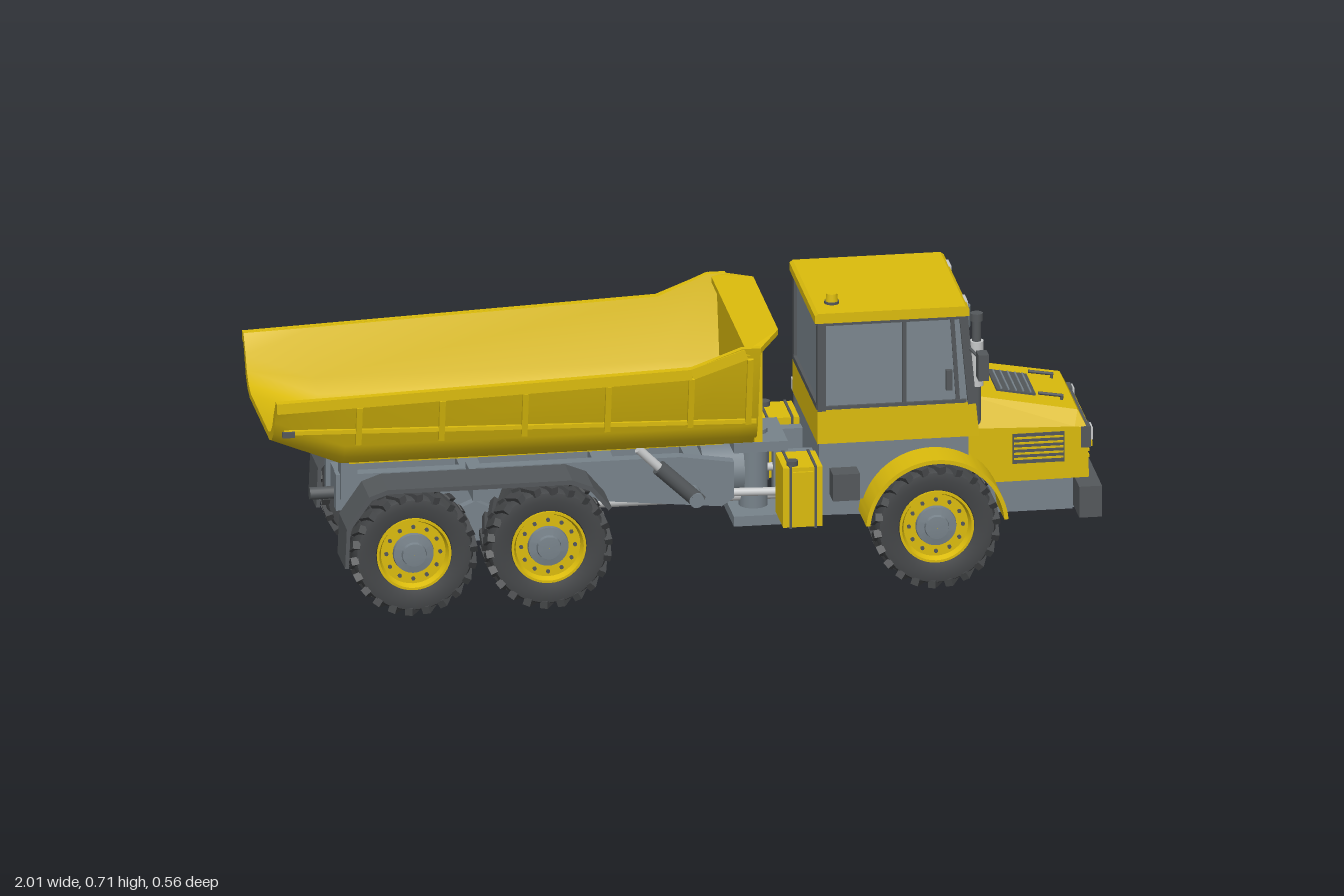
import * as THREE from 'three';
import { mergeGeometries, toCreasedNormals } from 'three/addons/utils/BufferGeometryUtils.js';
import { ConvexGeometry } from 'three/addons/geometries/ConvexGeometry.js';

const paint = (name, color) => Object.assign(new THREE.MeshStandardMaterial({ color }), { name });
const yellow = paint('yellow paint', 0xdcbc0c);
const grey = paint('chassis grey', 0x78838b);
const glass = paint('window glass', 0x7b868e);
const dark = paint('dark trim', 0x54585b);
const rubber = paint('tyre rubber', 0x444648);
const light = paint('pale metal', 0xc6c8c9);
const V = (x, y, z) => new THREE.Vector3(x, y, z);

function add(parent, name, geo, mat) {
  const m = new THREE.Mesh(geo, mat);
  m.name = name;
  parent.add(m);
  return m;
}
function box(p, name, mat, x0, x1, y0, y1, z0, z1) {
  const m = add(p, name, new THREE.BoxGeometry(x1 - x0, y1 - y0, Math.abs(z1 - z0)), mat);
  m.position.set((x0 + x1) / 2, (y0 + y1) / 2, (z0 + z1) / 2);
  return m;
}
// side outline pushed across the width
function prism(p, name, mat, pts, z0, z1) {
  const shape = new THREE.Shape(pts.map(([x, y]) => new THREE.Vector2(x, y)));
  const m = add(p, name, new THREE.ExtrudeGeometry(shape, { depth: Math.abs(z1 - z0), bevelEnabled: false }), mat);
  m.position.z = Math.min(z0, z1);
  return m;
}
// round rod and square bar between two points
function rod(p, name, mat, a, b, r, r2 = r) {
  const m = add(p, name, new THREE.CylinderGeometry(r2, r, a.distanceTo(b), 16), mat);
  m.position.copy(a).lerp(b, 0.5);
  m.quaternion.setFromUnitVectors(V(0, 1, 0), b.clone().sub(a).normalize());
  return m;
}
function bar(p, name, mat, a, b, w, h = w) {
  const m = add(p, name, new THREE.BoxGeometry(w, h, a.distanceTo(b)), mat);
  m.position.copy(a).lerp(b, 0.5);
  m.lookAt(b);
  return m;
}
function group(parent, name) {
  const g = new THREE.Group();
  g.name = name;
  parent.add(g);
  return g;
}

function wheel(parent, x, side) {
  const g = group(parent, 'wheel');
  const lathe = pts => toCreasedNormals(new THREE.LatheGeometry(pts.map(q => new THREE.Vector2(...q)), 40).rotateX(Math.PI / 2), 0.6);
  add(g, 'tyre', lathe([[0.001, -0.035], [0.09, -0.035], [0.092, -0.045], [0.12, -0.055], [0.138, -0.052], [0.144, -0.04],
    [0.144, 0.04], [0.138, 0.052], [0.12, 0.055], [0.092, 0.048], [0.085, 0.03]]), rubber);
  const lugs = [];
  for (let i = 0; i < 22; i++) for (const s of [1, -1]) {
    const lug = new THREE.BoxGeometry(0.019, 0.018, 0.056);
    lug.rotateY(s * 0.5).translate(0, 0.143, s * 0.03).rotateZ((i + (s > 0 ? 0 : 0.5)) * Math.PI / 11);
    lugs.push(lug);
  }
  add(g, 'tread', mergeGeometries(lugs), rubber);
  add(g, 'rim', lathe([[0.088, 0.03], [0.09, 0.05], [0.084, 0.05], [0.078, 0.034], [0.001, 0.034]]), yellow);
  add(g, 'hub', lathe([[0.05, 0.03], [0.048, 0.044], [0.03, 0.047], [0.028, 0.056], [0.001, 0.058]]), grey);
  for (let i = 0; i < 12; i++) {
    const a = i * Math.PI / 6;
    const bolt = add(g, 'wheelBolt', new THREE.CylinderGeometry(0.005, 0.005, 0.006, 8).rotateX(Math.PI / 2), dark);
    bolt.position.set(Math.cos(a) * 0.065, Math.sin(a) * 0.065, 0.035);
  }
  g.position.set(x, 0.154, side * 0.221);
  if (side < 0) g.rotation.y = Math.PI;
}

function dumpBody(root) {
  const g = group(root, 'dumpBody');
  const wallZ = y => 0.24 + 0.18 * (y - 0.42);
  // half section of the tub from floor centre to the top edge
  const half = (t, f, k) => [[0, f], [0.15, f], [0.185, f + 0.012], [0.212, f + 0.036], [0.23, f + 0.07], [wallZ(t), t]]
    .map(([z, y], i) => [Math.max(0, z - k), i < 5 ? y + k : y]);
  const full = h => [...h.slice(1).reverse().map(([z, y]) => [-z, y]), ...h];
  const stations = [[-1, 0.55, 0.42], [-0.83, 0.555, 0.352], [0, 0.585, 0.35], [0.12, 0.632, 0.35], [0.165, 0.632, 0.35]];
  const rings = stations.map(([x, t, f]) => [...full(half(t, f, 0)), ...full(half(t, f, 0.016)).reverse()].map(([z, y]) => [x, y, z]));
  const n = rings[0].length, pos = [];
  const quad = (a, b, c, d) => pos.push(...a, ...b, ...c, ...a, ...c, ...d);
  for (let i = 0; i + 1 < rings.length; i++) for (let j = 0; j < n; j++) {
    const k = (j + 1) % n;
    quad(rings[i][j], rings[i + 1][j], rings[i + 1][k], rings[i][k]);
  }
  for (let j = 0; j < n / 2 - 1; j++) {
    const r = rings[0], e = rings[rings.length - 1];
    quad(r[j], r[j + 1], r[n - 2 - j], r[n - 1 - j]);
    quad(e[n - 1 - j], e[n - 2 - j], e[j + 1], e[j]);
  }
  const geo = new THREE.BufferGeometry();
  geo.setAttribute('position', new THREE.Float32BufferAttribute(pos, 3));
  const tubPaint = yellow;
  tubPaint.side = THREE.DoubleSide;
  add(g, 'tub', toCreasedNormals(geo, 0.6), tubPaint);

  // headboard and spill guard
  const board = new THREE.Shape(full(half(0.625, 0.352, 0.004)).map(([z, y]) => new THREE.Vector2(-z, y)));
  add(g, 'headboard', new THREE.ExtrudeGeometry(board, { depth: 0.022, bevelEnabled: false }).rotateY(Math.PI / 2), yellow).position.x = 0.142;
  const guard = [];
  for (const s of [1, -1]) for (const d of [0, 0.014])
    guard.push(V(0.13, 0.612 + d, s * 0.275), V(0.165, 0.616 + d, s * 0.272), V(0.22, 0.632 + d, s * 0.19));
  add(g, 'spillGuard', new ConvexGeometry(guard), yellow);
  for (const s of [1, -1]) {
    for (const z of [0.08, 0.2]) box(g, 'headboardRib', yellow, 0.16, 0.18, 0.37, 0.625, s * z - 0.008, s * z + 0.008);
    for (const [x, t] of [[-0.8, 0.53], [-0.6, 0.537], [-0.4, 0.545], [-0.2, 0.552], [0, 0.56], [0.14, 0.605]])
      bar(g, 'sideRib', yellow, V(x, 0.43, s * 0.239), V(x, t, s * wallZ(t)), 0.014);
    bar(g, 'topRail', yellow, V(-1, 0.537, s * 0.262), V(0, 0.572, s * 0.268), 0.012, 0.026);
    bar(g, 'topRail', yellow, V(0, 0.572, s * 0.268), V(0.13, 0.619, s * 0.276), 0.012, 0.026);
    bar(g, 'lowerRail', yellow, V(-0.98, 0.47, s * 0.247), V(0.16, 0.435, s * 0.238), 0.01);
    box(g, 'rearMarker', dark, -0.985, -0.955, 0.46, 0.474, s * 0.25, s * 0.258);
    box(g, 'floorBeam', yellow, -0.8, 0.1, 0.33, 0.355, s * 0.07, s * 0.1);
  }
}

function cab(root) {
  const g = group(root, 'cab');
  prism(g, 'cabLower', yellow, [[0.315, 0.35], [0.705, 0.35], [0.697, 0.435], [0.315, 0.435]], -0.19, 0.19);
  prism(g, 'cabBase', grey, [[0.32, 0.205], [0.43, 0.205], [0.47, 0.27], [0.68, 0.3], [0.68, 0.35], [0.32, 0.35]], -0.185, 0.185);
  prism(g, 'windows', glass, [[0.322, 0.43], [0.692, 0.43], [0.67, 0.66], [0.322, 0.66]], -0.182, 0.182);
  for (const s of [1, -1]) {
    const z = s * 0.181;
    for (const [x0, x1] of [[0.325, 0.325], [0.525, 0.525], [0.655, 0.64], [0.688, 0.667]])
      bar(g, 'pillar', dark, V(x0, 0.432, z), V(x1, 0.658, z), x0 === 0.525 || x0 === 0.655 ? 0.01 : 0.02);
    for (const y of [0.438, 0.652]) box(g, 'windowRail', dark, 0.32, 0.675, y - 0.005, y + 0.005, z - 0.008, z + 0.008);
    box(g, 'doorHandle', dark, 0.625, 0.64, 0.47, 0.52, s * 0.182, s * 0.195);
    box(g, 'roofLamp', light, 0.676, 0.684, 0.664, 0.677, s * 0.102, s * 0.15);
    box(g, 'mirror', dark, 0.69, 0.715, 0.518, 0.583, s * 0.237, s * 0.275);
    rod(g, 'mirrorArm', dark, V(0.68, 0.573, s * 0.18), V(0.702, 0.56, s * 0.24), 0.004);
  }
  for (const y of [0.44, 0.652]) box(g, 'rearWindowRail', dark, 0.314, 0.325, y - 0.007, y + 0.007, -0.18, 0.18);
  box(g, 'windshieldHeader', dark, 0.66, 0.676, 0.646, 0.657, -0.185, 0.185);
  prism(g, 'roof', yellow, [[0.308, 0.656], [0.68, 0.656], [0.68, 0.675], [0.672, 0.681], [0.316, 0.681], [0.308, 0.675]], -0.196, 0.196);
  rod(g, 'wiper', dark, V(0.694, 0.448, -0.07), V(0.682, 0.578, -0.03), 0.003);
  rod(g, 'beaconBase', dark, V(0.36, 0.68, 0.122), V(0.36, 0.687, 0.122), 0.018);
  rod(g, 'beacon', yellow, V(0.36, 0.687, 0.122), V(0.36, 0.706, 0.122), 0.015, 0.013);

  // exhaust stack and air intake
  rod(g, 'exhaustPipe', dark, V(0.705, 0.365, 0.15), V(0.705, 0.63, 0.15), 0.011);
  rod(g, 'exhaustSleeve', light, V(0.705, 0.465, 0.15), V(0.705, 0.577, 0.15), 0.017);
  rod(g, 'exhaustTip', dark, V(0.705, 0.628, 0.15), V(0.705, 0.647, 0.15), 0.015);
  rod(g, 'intakePipe', dark, V(0.71, 0.365, -0.15), V(0.71, 0.51, -0.15), 0.013);
  rod(g, 'airFilter', grey, V(0.71, 0.508, -0.15), V(0.71, 0.56, -0.15), 0.027);
  rod(g, 'airFilterCap', grey, V(0.71, 0.56, -0.15), V(0.71, 0.574, -0.15), 0.024, 0.013);
}

function nose(root) {
  const g = group(root, 'hood'), pts = [];
  for (const s of [1, -1]) for (const [x, y, z] of [[0.68, 0.22, 0.163], [0.68, 0.36, 0.165], [0.68, 0.435, 0.13], [0.95, 0.385, 0.138],
    [0.94, 0.35, 0.16], [0.97, 0.345, 0.157], [0.975, 0.22, 0.157]]) pts.push(V(x, y, s * z));
  add(g, 'hoodShell', new ConvexGeometry(pts), yellow);
  box(g, 'grille', dark, 0.965, 0.978, 0.243, 0.342, -0.117, 0.117);
  for (let i = 0; i < 6; i++) box(g, 'grilleSlat', yellow, 0.97, 0.983, 0.254 + i * 0.0145, 0.26 + i * 0.0145, -0.112, 0.112);
  const vent = group(g, 'topVent');
  box(vent, 'ventPlate', dark, -0.048, 0.048, -0.004, 0.004, -0.073, 0.073);
  for (let i = 0; i < 5; i++) box(vent, 'ventFin', grey, -0.038 + i * 0.018, -0.034 + i * 0.018, 0, 0.007, -0.068, 0.068);
  vent.position.set(0.812, 0.411, 0);
  vent.rotation.z = -0.183;
  for (const s of [1, -1]) {
    box(g, 'sideVent', dark, 0.79, 0.915, 0.265, 0.34, s * 0.156, s * 0.1645);
    for (let i = 0; i < 5; i++) box(g, 'sideVentSlat', yellow, 0.793, 0.912, 0.275 + i * 0.013, 0.28 + i * 0.013, s * 0.157, s * 0.1665);
    box(g, 'headlampHousing', dark, 0.955, 0.979, 0.295, 0.348, s * 0.119, s * 0.159);
    box(g, 'headlamp', light, 0.96, 0.984, 0.313, 0.345, s * 0.122, s * 0.156);
    box(g, 'turnLamp', yellow, 0.96, 0.983, 0.297, 0.31, s * 0.122, s * 0.156);
    rod(g, 'hoodHandle', dark, V(0.865, 0.41, s * 0.078), V(0.925, 0.4, s * 0.078), 0.004);
    rod(g, 'handlePost', dark, V(0.92, 0.38, s * 0.078), V(0.922, 0.402, s * 0.078), 0.004);
    box(g, 'bumperLamp', light, 0.99, 1.002, 0.183, 0.199, s * 0.15, s * 0.18);
    // curved band over the front wheel
    const arch = new THREE.Shape();
    arch.absarc(0, 0, 0.172, 0.08, Math.PI - 0.08, false);
    arch.absarc(0, 0, 0.162, Math.PI - 0.08, 0.08, true);
    const f = add(g, 'frontFender', toCreasedNormals(new THREE.ExtrudeGeometry(arch, { depth: 0.12, bevelEnabled: false, curveSegments: 28 }), 0.5), yellow);
    f.position.set(0.59, 0.154, s > 0 ? 0.16 : -0.28);
  }
  box(g, 'bumper', dark, 0.945, 1, 0.132, 0.21, -0.197, 0.197);
  box(g, 'towPocket', rubber, 0.995, 1.003, 0.163, 0.187, -0.021, 0.021);
  box(g, 'towPin', light, 0.998, 1.006, 0.165, 0.185, -0.007, 0.007);
}

function access(root) {
  const g = group(root, 'accessSteps');
  box(g, 'platform', light, 0.325, 0.53, 0.327, 0.355, -0.28, -0.188);
  for (const x of [0.335, 0.405]) rod(g, 'ladderRail', dark, V(x, 0.085, -0.262), V(x, 0.33, -0.272), 0.006);
  for (let i = 0; i < 4; i++) box(g, 'ladderStep', dark, 0.335, 0.405, 0.1 + i * 0.06, 0.108 + i * 0.06, -0.28, -0.25);
  for (const x of [0.42, 0.53]) rod(g, 'handrailPost', dark, V(x, 0.34, -0.276), V(x, 0.54, -0.276), 0.004);
  for (const y of [0.445, 0.54]) rod(g, 'handrail', dark, V(0.42, y, -0.276), V(0.53, y, -0.276), 0.004);
  rod(g, 'handrailBrace', dark, V(0.53, 0.445, -0.276), V(0.53, 0.445, -0.185), 0.004);
  rod(g, 'grabBar', dark, V(0.34, 0.38, -0.2), V(0.34, 0.55, -0.2), 0.005);
  box(g, 'batteryBox', dark, 0.345, 0.41, 0.22, 0.287, 0.18, 0.237);
  for (const s of [1, -1]) {
    box(g, 'tank', yellow, 0.225, 0.32, 0.16, 0.31, s * 0.12, s * 0.237);
    box(g, 'tankPanel', yellow, 0.248, 0.297, 0.17, 0.3, s * 0.2, s * 0.243);
    for (const x of [0.24, 0.3]) box(g, 'tankStrap', dark, x, x + 0.006, 0.157, 0.313, s * 0.118, s * 0.24);
    rod(g, 'tankCap', dark, V(0.25, 0.31, s * 0.215), V(0.25, 0.322, s * 0.215), 0.014);
  }
}

function chassis(root) {
  const g = group(root, 'chassis');
  for (const s of [1, -1]) {
    prism(g, 'frontRail', grey, [[0.25, 0.14], [0.95, 0.125], [0.95, 0.22], [0.68, 0.24], [0.32, 0.3], [0.25, 0.3]], s * 0.07, s * 0.1);
    prism(g, 'rearRail', grey, [[-0.83, 0.21], [-0.2, 0.2], [0.1, 0.17], [0.13, 0.19], [0.13, 0.28], [0, 0.3], [-0.83, 0.3]], s * 0.06, s * 0.09);
    box(g, 'rearPost', grey, -0.82, -0.78, 0.24, 0.35, s * 0.06, s * 0.1);
    rod(g, 'steeringCylinder', light, V(0.1, 0.2, s * 0.075), V(0.26, 0.2, s * 0.09), 0.01);
    rod(g, 'liftBarrel', dark, V(0.04, 0.2, s * 0.135), V(-0.06, 0.295, s * 0.14), 0.019);
    rod(g, 'liftRod', light, V(-0.06, 0.295, s * 0.14), V(-0.11, 0.345, s * 0.142), 0.011);
    rod(g, 'liftPivot', grey, V(0.03, 0.21, s * 0.07), V(0.03, 0.21, s * 0.155), 0.018);
    prism(g, 'rearMudguard', dark, [[-0.838, 0.13], [-0.834, 0.23], [-0.78, 0.308], [-0.735, 0.324], [-0.29, 0.324], [-0.24, 0.304], [-0.195, 0.25],
      [-0.203, 0.243], [-0.246, 0.294], [-0.293, 0.313], [-0.732, 0.313], [-0.773, 0.299], [-0.825, 0.227], [-0.829, 0.13]], s * 0.163, s * 0.281);
    box(g, 'mudguardBracket', grey, -0.517, -0.5, 0.255, 0.315, s * 0.085, s * 0.2);
    prism(g, 'suspensionBeam', grey, [[-0.67, 0.13], [-0.345, 0.13], [-0.42, 0.19], [-0.5, 0.23], [-0.6, 0.19]], s * 0.105, s * 0.13);
    for (const x of [-0.67, -0.345, 0.59]) wheel(root, x, s);
  }
  for (const x of [-0.82, -0.52, -0.2, 0.02]) box(g, 'crossMember', grey, x, x + 0.05, 0.215, 0.28, -0.07, 0.07);
  for (const x of [0.27, 0.44, 0.72, 0.9]) box(g, 'crossMember', grey, x, x + 0.04, 0.135, 0.21, -0.08, 0.08);
  box(g, 'engineBlock', dark, 0.46, 0.9, 0.17, 0.3, -0.068, 0.068);
  box(g, 'bellyPlate', grey, 0.74, 0.945, 0.118, 0.14, -0.09, 0.09);
  rod(g, 'hitch', dark, V(-0.77, 0.225, 0), V(-0.88, 0.225, 0), 0.015);

  // articulation joint
  for (const y of [0.115, 0.3]) box(g, 'jointPlate', grey, 0.13, 0.26, y, y + 0.025, -0.085, 0.085);
  rod(g, 'jointPin', grey, V(0.19, 0.105, 0), V(0.19, 0.335, 0), 0.035);
  rod(g, 'jointDrum', grey, V(0.06, 0.235, 0), V(0.16, 0.235, 0), 0.065);
  rod(g, 'driveShaft', light, V(-0.67, 0.165, 0), V(0.59, 0.165, 0), 0.014);

  for (const x of [-0.67, -0.345, 0.59]) {
    add(g, 'differential', new THREE.SphereGeometry(0.055, 24, 16), grey).position.set(x, 0.154, 0);
    for (const s of [1, -1]) rod(g, 'axleTube', grey, V(x, 0.154, s * 0.02), V(x, 0.154, s * 0.19), 0.045, 0.028);
  }
}

export function createModel() {
  const root = new THREE.Group();
  root.name = 'articulatedDumpTruck';
  dumpBody(root);
  cab(root);
  nose(root);
  access(root);
  chassis(root);
  return root;
}
